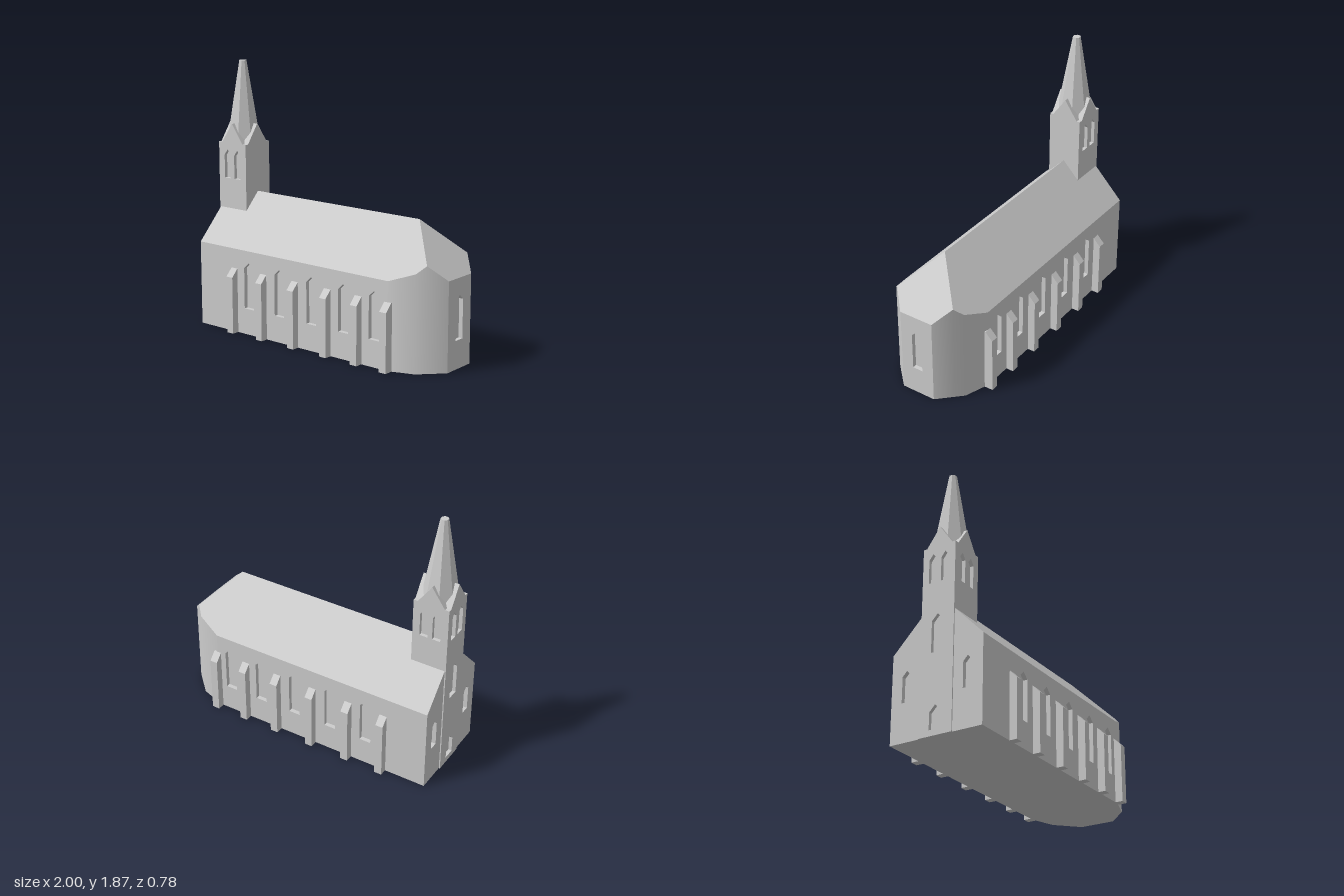
import * as THREE from 'three';

const stone = new THREE.MeshStandardMaterial({ color: 0xcccccc });
stone.name = 'pale stone';

const shapeOf = (pts) => new THREE.Shape(pts.map(([x, y]) => new THREE.Vector2(x, y)));

// Pointed opening: centre x, sill, shoulder, tip, width
function pointed([cx, sill, shoulder, tip, w]) {
  const h = w / 2;
  return shapeOf([[cx - h, sill], [cx + h, sill], [cx + h, shoulder], [cx, tip], [cx - h, shoulder]]);
}

// Convex polygon as a triangle fan, with flat normals unless some are given
function fan(points, normals) {
  const pos = [], nor = [];
  for (let i = 1; i < points.length - 1; i++) {
    for (const k of [0, i, i + 1]) {
      pos.push(...points[k]);
      if (normals) nor.push(...normals[k]);
    }
  }
  const g = new THREE.BufferGeometry();
  g.setAttribute('position', new THREE.Float32BufferAttribute(pos, 3));
  if (normals) g.setAttribute('normal', new THREE.Float32BufferAttribute(nor, 3));
  else g.computeVertexNormals();
  return g;
}

const flipZ = (pts) => pts.map(([x, y, z]) => [x, y, -z]).reverse();

export function createModel() {
  const model = new THREE.Group();
  model.name = 'church';

  function add(name, geometry, x = 0, y = 0, z = 0, turn = 0) {
    const mesh = new THREE.Mesh(geometry, stone);
    mesh.name = name;
    mesh.position.set(x, y, z);
    mesh.rotation.y = turn;
    model.add(mesh);
    return mesh;
  }

  // Wall slab whose outer face is at local z = 0, with openings cut through
  function slab(pts, openings, depth) {
    const s = shapeOf(pts);
    s.holes = openings.map(pointed);
    return new THREE.ExtrudeGeometry(s, { depth, bevelEnabled: false }).translate(0, 0, -depth);
  }
  function block(name, x0, x1, y0, y1, halfZ) {
    add(name, new THREE.BoxGeometry(x1 - x0, y1 - y0, halfZ * 2), (x0 + x1) / 2, (y0 + y1) / 2, 0);
  }

  const W = 0.335, EAVE = 0.6, RIDGE = 0.945, D = 0.03, BACK = -0.99, HIP = 0.675;
  const roofY = (z) => RIDGE - ((RIDGE - EAVE) / W) * z;
  const Q = Math.PI / 2;

  // Nave side walls with pointed windows
  const windowX = [-0.53, -0.25, 0.035, 0.31, 0.565];
  for (const s of [1, -1]) {
    const pts = [[BACK + D, 0], [HIP, 0], [HIP, EAVE], [BACK + D, EAVE]].map(([x, y]) => [x * s, y]);
    const wins = windowX.map((x) => [x * s, 0.185, 0.475, 0.515, 0.085]);
    add('naveWall', slab(pts, wins, D), 0, 0, s * W, s > 0 ? 0 : Math.PI);
  }
  block('naveCore', BACK + D, HIP, 0.01, EAVE, W - D);
  block('apseCore', HIP, 1 - D, 0.01, EAVE, 0.1);

  // Entrance gable on either side of the tower
  for (const s of [1, -1]) {
    const pts = [[0.122, 0], [W, 0], [W, EAVE], [0.122, roofY(0.122)]].map(([x, y]) => [x * s, y]);
    add('entranceGable', slab(pts, [[s * 0.225, 0.265, 0.44, 0.475, 0.065]], D), BACK, 0, 0, -Q);
  }

  // Rounded apse walls, smooth up to the end wall
  const plan = [[HIP, W], [0.85, 0.275], [0.9, 0.225], [1, 0.125]];
  const angle = [3, 25, 34, 48].map(THREE.MathUtils.degToRad);
  for (let i = 0; i < 3; i++) {
    const [a, b] = [plan[i], plan[i + 1]];
    const topY = ([x, z]) => (x > 0.95 ? roofY(x - HIP) : roofY(z));
    const pts = [[a[0], 0, a[1]], [b[0], 0, b[1]], [b[0], topY(b), b[1]], [a[0], topY(a), a[1]]];
    const nor = [i, i + 1, i + 1, i].map((k) => [Math.sin(angle[k]), 0, Math.cos(angle[k])]);
    add('apseWall', fan(pts, nor));
    add('apseWall', fan(flipZ(pts), flipZ(nor)));
  }
  const endTop = roofY(1 - HIP);
  add('apseEndWall', slab([[-0.125, 0], [0.125, 0], [0.125, endTop], [-0.125, endTop]],
    [[0, 0.195, 0.46, 0.495, 0.075]], D), 1, 0, 0, Q);

  // Roof slopes and hipped end
  const slope = [[BACK + D, EAVE, W], ...plan.slice(0, 3).map(([x, z]) => [x, roofY(z), z]),
    [HIP, RIDGE, 0], [BACK + D, RIDGE, 0]];
  add('roofSlope', fan(slope));
  add('roofSlope', fan(flipZ(slope)));
  add('roofHip', fan([[HIP, RIDGE, 0], [0.9, roofY(0.225), 0.225], [1, endTop, 0.125],
    [1, endTop, -0.125], [0.9, roofY(0.225), -0.225]]));

  // Floor
  const outline = [[BACK, W], ...plan];
  const floor = shapeOf([...outline, ...outline.map(([x, z]) => [x, -z]).reverse()]);
  add('floor', new THREE.ShapeGeometry(floor).rotateX(Q));

  // Buttresses with sloping tops
  const B = 0.055;
  const buttress = new THREE.ExtrudeGeometry(
    shapeOf([[W - 0.01, 0], [0.388, 0], [0.388, 0.405], [W, 0.46], [W - 0.01, 0.46]]),
    { depth: B, bevelEnabled: false });
  for (const x of [-0.665, -0.395, -0.11, 0.175, 0.435, 0.675]) {
    add('buttress', buttress, x + B / 2, 0, 0, -Q);
    add('buttress', buttress, x - B / 2, 0, 0, Q);
  }

  // Tower walls, each ending in a small gable
  const TX = -0.87, HX = 0.128, HZ = 0.122, T = 0.025, G = HZ - T, SH = 1.29, PEAK = 1.427;
  const belfry = [-0.046, 0.046].map((x) => [x, 1.035, 1.2, 1.24, 0.06]);
  const broad = [[-HX, 0], [HX, 0], [HX, SH], [G, SH], [0, PEAK], [-G, SH], [-HX, SH]];
  const narrow = [[-G, 0], [G, 0], [G, SH], [0, PEAK], [-G, SH]];
  add('towerWall', slab(broad, belfry, T), TX, 0, HZ);
  add('towerWall', slab(broad, belfry, T), TX, 0, -HZ, Math.PI);
  add('towerWall', slab(narrow, [], T), TX + HX, 0, 0, Q);
  const entrance = [...belfry, [0, 0.55, 0.765, 0.81, 0.085], [0, 0.04, 0.155, 0.2, 0.085]];
  add('towerEntranceWall', slab(narrow, entrance, T), TX - HX, 0, 0, -Q);
  block('towerCore', TX - HX + T, TX + HX - T, 0.01, SH, G);

  // Crossed gable roofs of the tower
  const tri = [[-G, SH], [G, SH], [0, PEAK]];
  add('towerGableRoof', slab(tri, [], 2 * (HZ - T)), TX, 0, HZ - T);
  add('towerGableRoof', slab(tri, [], 2 * (HX - T)), TX + HX - T, 0, 0, Q);

  // Eight-sided spire with a blunt tip
  const c = Math.cos(Math.PI / 8), H = 1.866 - SH;
  const spire = new THREE.CylinderGeometry(0.025 / c, 0.116 / c, H, 8).toNonIndexed();
  spire.computeVertexNormals();
  add('spire', spire, TX, SH + H / 2, 0, Math.PI / 8);

  return model;
}
